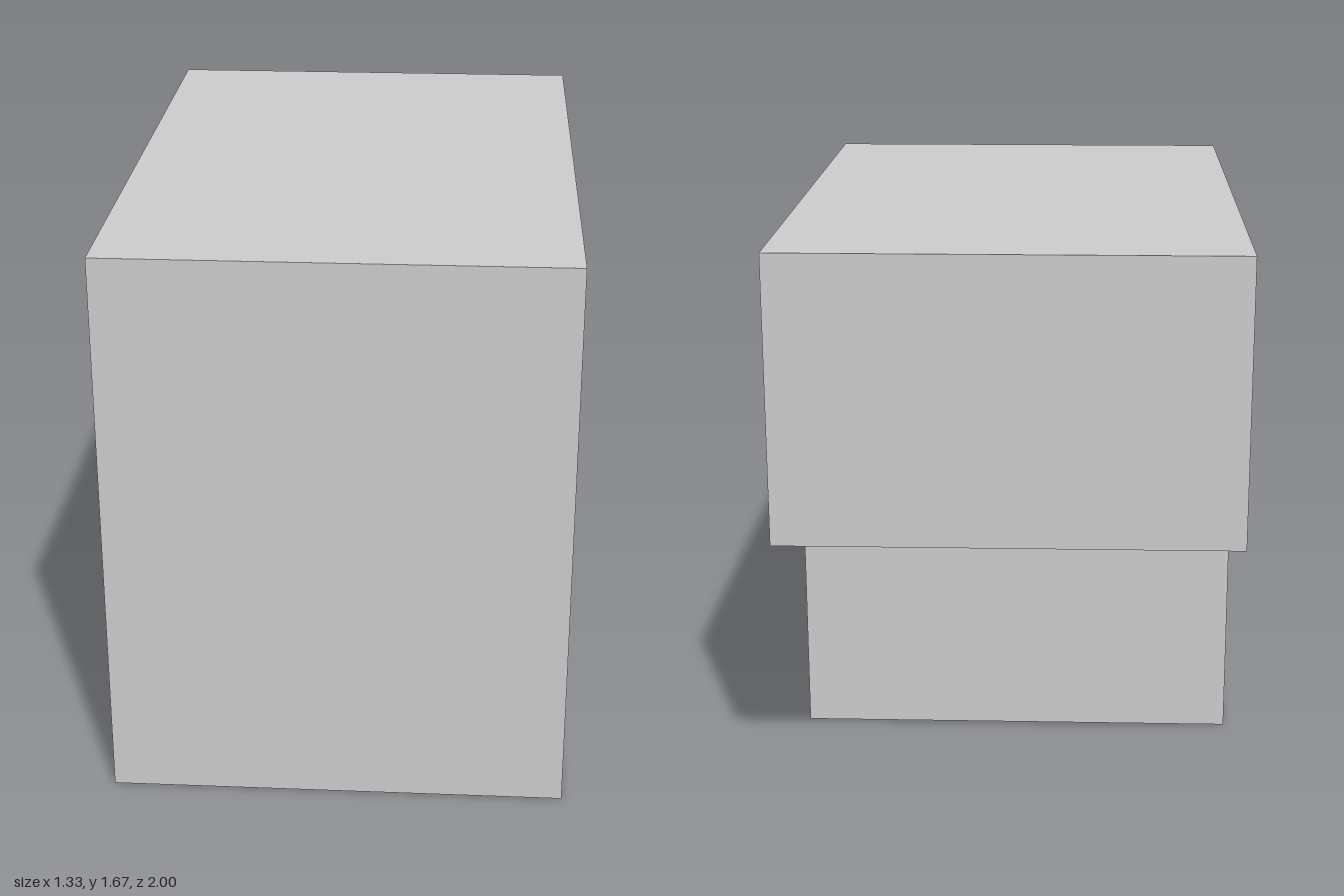
import * as THREE from 'three';

const WIDTH = 1.333, WALL = 0.067;

export function createModel() {
  const group = new THREE.Group();
  const material = new THREE.MeshStandardMaterial({ color: 0xcccccc, flatShading: true });

  function add(name, geometry, x = 0, y = 0, z = 0) {
    const mesh = new THREE.Mesh(geometry, material);
    mesh.name = name;
    mesh.position.set(x, y, z);
    group.add(mesh);
    return mesh;
  }
  const points = (list) => list.map(([z, y]) => new THREE.Vector2(z, y));

  // Shell: stepped side profile with a hollow cabin, extruded across the width
  const profile = new THREE.Shape(points([
    [1, 0], [1, 1.667], [-1, 1.667], [-1, 0.833], [-0.333, 0.833], [-0.333, 0],
  ]));
  profile.holes.push(new THREE.Path(points([
    [0.933, WALL], [0.933, 1.6], [-0.267, 1.6], [-0.267, WALL],
  ])));
  const shell = new THREE.ExtrudeGeometry(profile, { depth: WIDTH, bevelEnabled: false });
  shell.translate(0, 0, -WIDTH / 2).rotateY(-Math.PI / 2);
  add('cabinShell', shell);

  // Low side walls, leaving a wide window above each sill
  for (const side of [-1, 1]) {
    add(side > 0 ? 'leftSideWall' : 'rightSideWall',
      new THREE.BoxGeometry(WALL, 0.833 - WALL, 1.2),
      side * (WIDTH - WALL) / 2, (0.833 + WALL) / 2, 0.333);
  }

  // Bench step against the rear wall of the cabin
  add('bench', new THREE.BoxGeometry(WIDTH - 2 * WALL, 0.245, 0.17), 0, 0.19, -0.182);

  // Slab inside the cabin, sloping down towards the front
  const slab = add('slopingSlab', new THREE.BoxGeometry(0.234, 0.133, 0.72), 0, 0.595, 0.375);
  slab.rotation.x = Math.PI / 6;

  return group;
}
